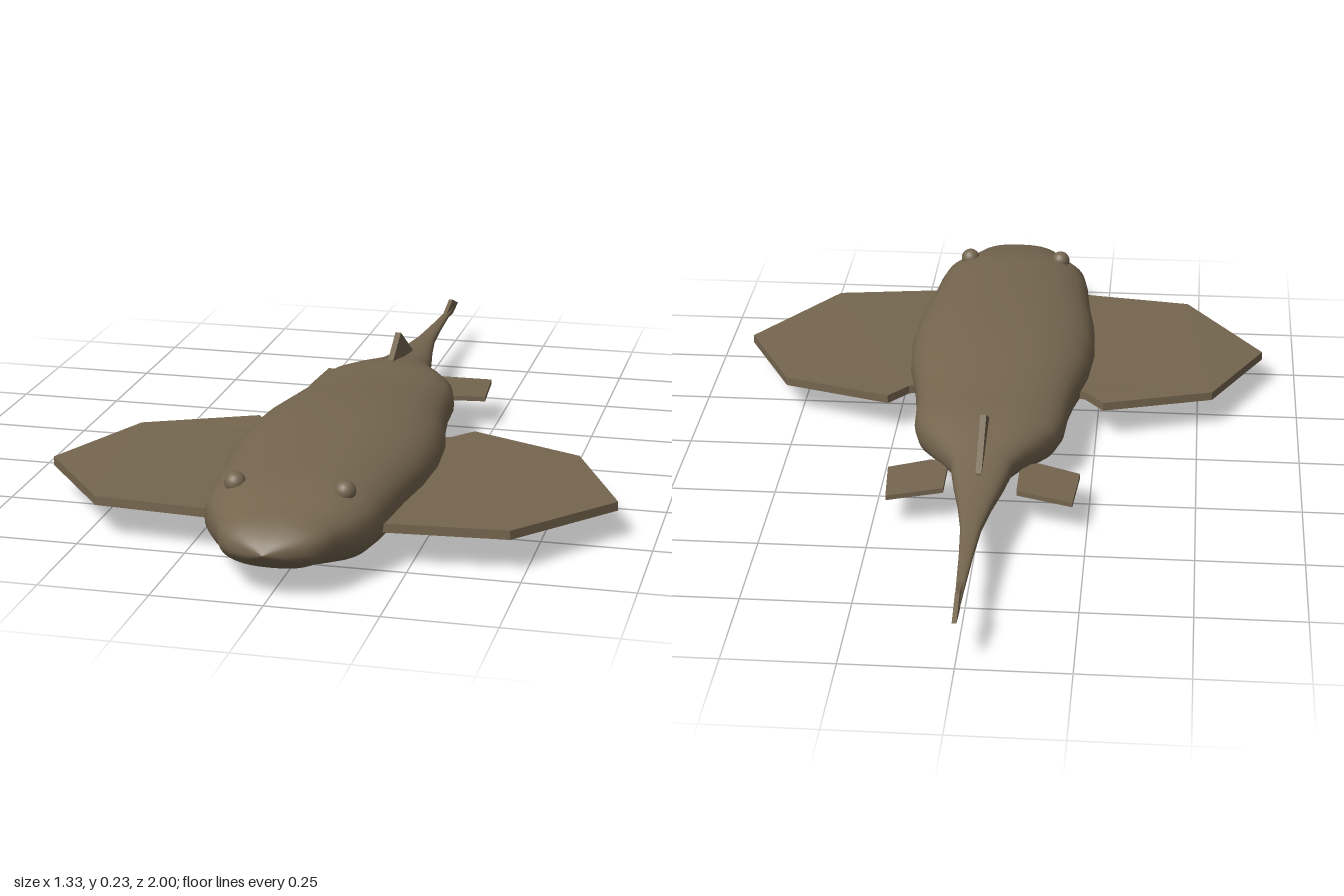
import * as THREE from 'three';

const skin = new THREE.MeshStandardMaterial({ color: 0x75664f });
skin.name = 'brown skin';

// Body cross-sections from nose to tail: z, half width, bottom y, top y
const SECTIONS = [
  [1, 0.003, 0.109, 0.113], [0.985, 0.045, 0.092, 0.132], [0.965, 0.085, 0.078, 0.147],
  [0.935, 0.115, 0.06, 0.165], [0.9, 0.13, 0.053, 0.173], [0.85, 0.16, 0.037, 0.185],
  [0.79, 0.19, 0.019, 0.2], [0.72, 0.201, 0.013, 0.206], [0.6, 0.212, 0.008, 0.21],
  [0.48, 0.228, 0.003, 0.214], [0.35, 0.234, 0, 0.215], [0.22, 0.224, 0.006, 0.211],
  [0.1, 0.2, 0.02, 0.203], [0, 0.186, 0.03, 0.193], [-0.09, 0.181, 0.033, 0.189],
  [-0.15, 0.166, 0.038, 0.187], [-0.21, 0.13, 0.052, 0.178], [-0.26, 0.098, 0.065, 0.168],
  [-0.31, 0.073, 0.074, 0.158], [-0.4, 0.058, 0.082, 0.145], [-0.5, 0.039, 0.093, 0.136],
  [-0.6, 0.024, 0.1, 0.13], [-0.72, 0.016, 0.104, 0.124], [-0.85, 0.01, 0.106, 0.12],
  [-0.99, 0.004, 0.108, 0.114],
];

// Loft of rounded, slightly boxy rings
function bodyGeometry() {
  const sides = 40, pos = [], index = [];
  const soft = (v) => Math.sign(v) * Math.abs(v) ** 0.82;
  for (const [z, w, y0, y1] of SECTIONS) {
    for (let i = 0; i < sides; i++) {
      const a = (i / sides) * Math.PI * 2;
      pos.push(w * soft(Math.cos(a)), (y0 + y1) / 2 + ((y1 - y0) / 2) * soft(Math.sin(a)), z);
    }
  }
  for (let r = 0; r < SECTIONS.length - 1; r++) {
    for (let i = 0; i < sides; i++) {
      const a = r * sides + i, b = r * sides + ((i + 1) % sides);
      index.push(a, a + sides, b, b, a + sides, b + sides);
    }
  }
  // End caps
  const last = (SECTIONS.length - 1) * sides;
  for (let i = 1; i < sides - 1; i++) {
    index.push(0, i, i + 1, last, last + i + 1, last + i);
  }
  const g = new THREE.BufferGeometry();
  g.setAttribute('position', new THREE.Float32BufferAttribute(pos, 3));
  g.setIndex(index);
  g.computeVertexNormals();
  return g;
}

// Flat plate extruded from an outline of point pairs
function plate(points, depth) {
  const shape = new THREE.Shape(points.map(([a, b]) => new THREE.Vector2(a, b)));
  return new THREE.ExtrudeGeometry(shape, { depth, bevelEnabled: false });
}

// Horizontal fin from an x,z outline; lift(x) gives the height of its underside
function flatFin(outline, side, depth, lift) {
  const g = plate(outline.map(([x, z]) => [x * side, -z]), depth).rotateX(-Math.PI / 2);
  const p = g.attributes.position;
  for (let i = 0; i < p.count; i++) p.setY(i, p.getY(i) + lift(Math.abs(p.getX(i))));
  g.computeVertexNormals();
  return g;
}

// Upright fin in the middle plane from a z,y outline
function uprightFin(outline, depth) {
  return plate(outline.map(([z, y]) => [-z, y]), depth)
    .translate(0, 0, -depth / 2).rotateY(Math.PI / 2);
}

const PECTORAL = [[0.14, 0.742], [0.2, 0.74], [0.468, 0.71], [0.663, 0.445], [0.535, 0.18],
  [0.267, 0.082], [0.22, 0.14], [0.14, 0.16]];
const PELVIC = [[0.085, -0.25], [0.085, -0.37], [0.216, -0.4], [0.227, -0.255], [0.127, -0.222], [0.09, -0.238]];

export function createModel() {
  const group = new THREE.Group();
  const add = (name, geometry) => {
    const mesh = new THREE.Mesh(geometry, skin);
    mesh.name = name;
    group.add(mesh);
    return mesh;
  };

  add('body', bodyGeometry());

  // Paired fins and eyes
  for (const [label, s] of [['left', 1], ['right', -1]]) {
    add(label + 'PectoralFin', flatFin(PECTORAL, s, 0.021,
      (x) => 0.084 - 0.012 * Math.max(0, x - 0.2) - 0.05 * Math.max(0, x - 0.45)));
    add(label + 'PelvicFin', flatFin(PELVIC, s, 0.012, (x) => 0.08 - 0.07 * (x - 0.085)));
    const eye = add(label + 'Eye', new THREE.SphereGeometry(0.024, 20, 14));
    eye.position.set(s * 0.122, 0.187, 0.78);
  }

  // Dorsal fin and tail fin
  add('dorsalFin', uprightFin([[-0.18, 0.15], [-0.18, 0.184], [-0.265, 0.233], [-0.4, 0.15], [-0.4, 0.12]], 0.014));
  add('tailFin', uprightFin([[-0.84, 0.119], [-0.925, 0.14], [-1, 0.111], [-0.93, 0.098], [-0.84, 0.107]], 0.01));

  return group;
}
